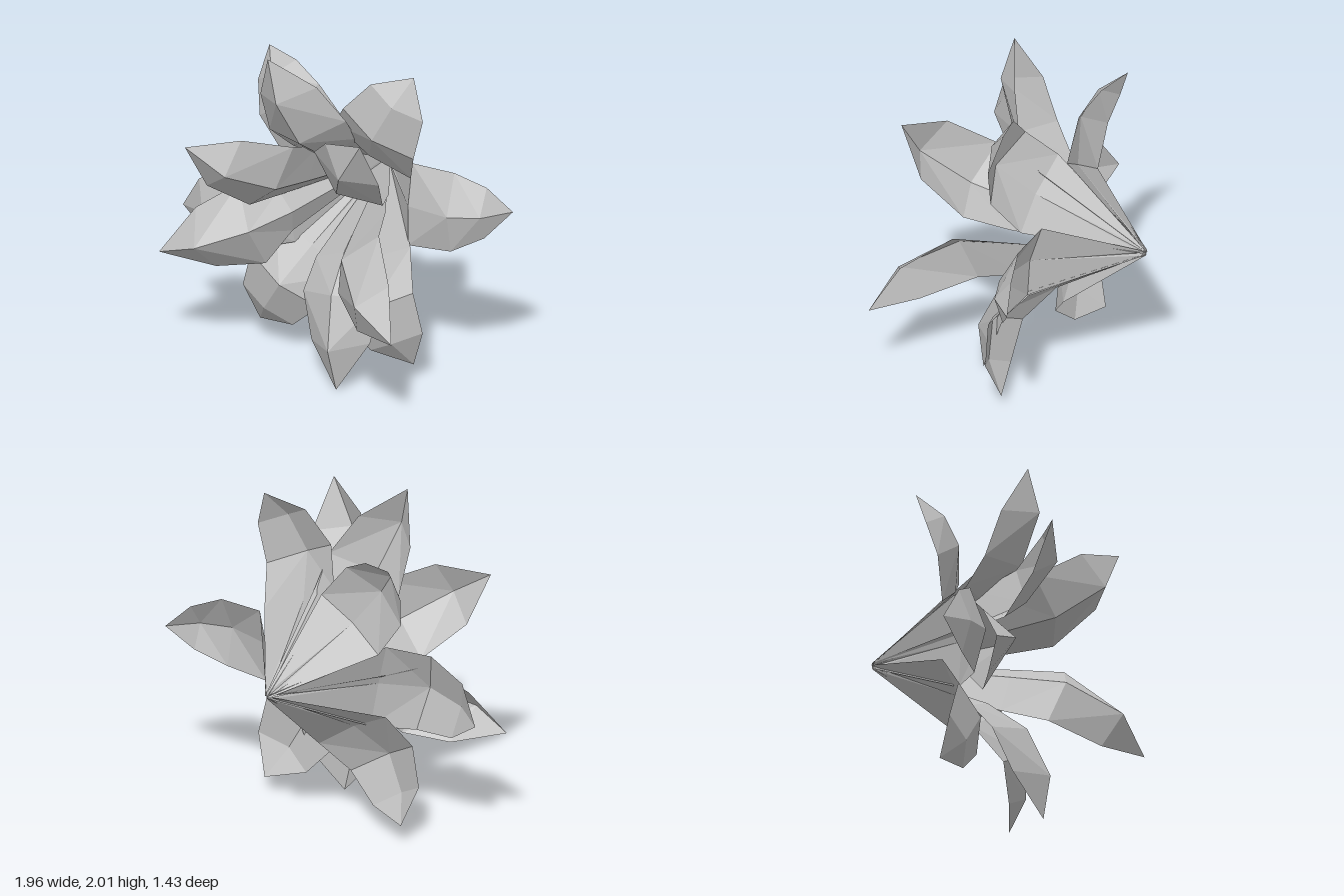
import * as THREE from 'three';

const BASE_Z = -0.71;                 // all petals spring from one point at the back
const CENTRE_Y = 1.0;

// rows from the claw to the tip: midrib radius and z, half width, then how far the edges
// sit from the midrib in radius and z; inner petals are cupped, outer ones curl back
const CUPPED = [[0.21, 0.03, 0.21, 0.08, -0.04], [0.30, 0.33, 0.25, 0.08, -0.08], [0.56, 0.59, 0.195, 0.07, -0.11], [0.86, 0.63, 0, 0, 0]];
const OPEN = [[0.30, -0.03, 0.21, 0.07, -0.05], [0.48, 0.20, 0.25, 0.05, -0.15], [0.78, 0.33, 0.185, 0.01, -0.18], [1.04, 0.28, 0, 0, 0]];
const SPREAD = [[0.36, -0.09, 0.27, 0.02, -0.03], [0.59, 0.11, 0.25, 0.01, -0.08], [0.83, 0.08, 0.185, 0.01, -0.06], [1.01, -0.04, 0, 0, 0]];
const CURLED = [[0.38, -0.16, 0.24, 0, -0.03], [0.65, -0.10, 0.23, 0, -0.08], [0.83, -0.16, 0.148, 0, -0.08], [0.97, -0.31, 0, 0, 0]];

// direction in degrees, rows, extra tilt in degrees, length factor, roll in degrees, claw width factor
const PETALS = [
  ['innerPetal', 59.3, CUPPED, 0, 1, 0, 1],
  ['innerPetal', 146.7, CUPPED, 1.7, 0.94, 0, 1],
  ['innerPetal', -32.3, CUPPED, -3.4, 1.03, 3, 1],
  ['innerPetal', 106.7, OPEN, 0, 1, 0, 1],
  ['innerPetal', -83.1, OPEN, 0, 0.985, 0, 1],
  ['innerPetal', 200.2, OPEN, 0.6, 1, 0, 0.6],
  ['outerPetal', 62.2, SPREAD, 0, 1, 0, 1],
  ['outerPetal', -62.4, SPREAD, 0, 1.02, 0, 1],
  ['outerPetal', 191.5, SPREAD, 0, 0.99, 0, 1],
  ['outerPetal', -122, SPREAD, 6.5, 0.97, 0, 1],
  ['outerPetal', 125.7, CURLED, 0, 0.99, 0, 1],
  ['outerPetal', 1.5, CURLED, 0, 1, -10, 1],
];

function petalGeometry(degrees, rows, tilt, length, roll, claw) {
  const rad = THREE.MathUtils.degToRad;
  const pivot = new THREE.Vector2(0, BASE_Z);
  const c = Math.cos(rad(degrees)), s = Math.sin(rad(degrees));

  // each row holds one edge, the midrib and the other edge
  const points = [];
  [[0, BASE_Z, 0.015, 0.01, 0], ...rows].forEach(([r, z, width, dr, dz], i) => {
    const half = i === 1 ? width * claw : width;
    for (const side of [-1, 0, 1]) {
      const fold = Math.abs(side), across = side * half;
      const p = new THREE.Vector2(r + fold * dr, z + fold * dz)
        .sub(pivot).multiplyScalar(length).add(pivot).rotateAround(pivot, -rad(tilt));
      points.push(p.x * c - across * s, CENTRE_Y + p.x * s + across * c, p.y + across * Math.sin(rad(roll)));
    }
  });
  const index = [];
  for (let row = 0; row < 4; row++) {
    for (let col = 0; col < 2; col++) {
      const a = row * 3 + col, b = a + 1, d = a + 3, e = a + 4;
      if (row === 3) index.push(a, d, b);
      else if (col === 0) index.push(a, d, e, a, e, b);
      else index.push(a, d, b, b, d, e);
    }
  }
  const geometry = new THREE.BufferGeometry();
  geometry.setAttribute('position', new THREE.Float32BufferAttribute(points, 3));
  geometry.setIndex(index);
  const flat = geometry.toNonIndexed();
  flat.computeVertexNormals();
  return flat;
}

export function createModel() {
  const model = new THREE.Group();
  model.name = 'flower';
  const grey = new THREE.MeshStandardMaterial({ color: 0xbcbcbc, side: THREE.DoubleSide, flatShading: true });
  grey.name = 'petalGrey';
  for (const [name, ...shape] of PETALS) {
    const petal = new THREE.Mesh(petalGeometry(...shape), grey);
    petal.name = name;
    model.add(petal);
  }
  return model;
}
